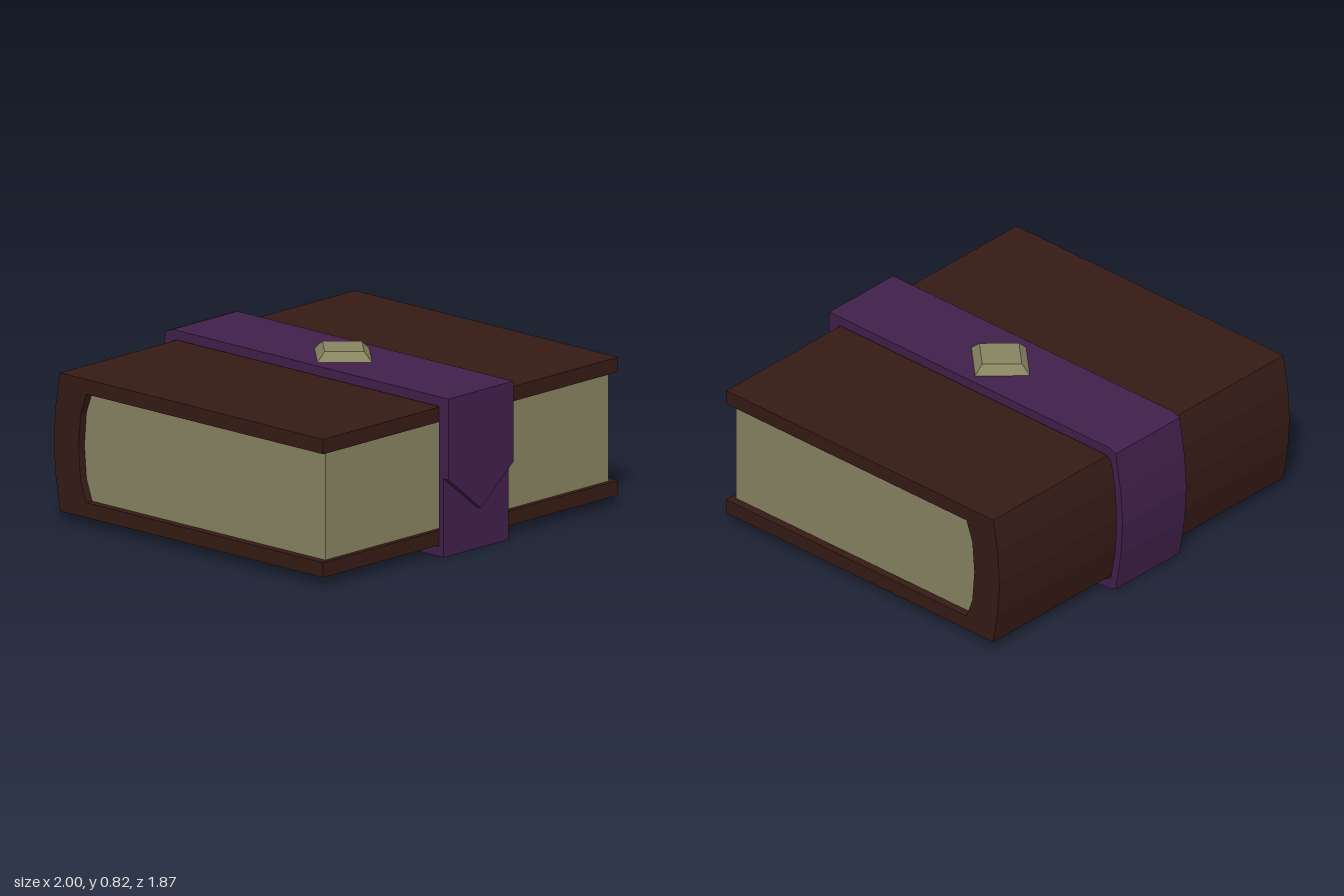
import * as THREE from 'three';

const MID = 0.385; // height of the book's middle

const material = (color) => new THREE.MeshStandardMaterial({ color, flatShading: true });

// Extrude a (z, y) side profile along x, centred on x = 0
function sideExtrude(name, profile, width, mat) {
  const shape = new THREE.Shape(profile.map(([z, y]) => new THREE.Vector2(-z, y)));
  const geo = new THREE.ExtrudeGeometry(shape, { depth: width, bevelEnabled: false });
  geo.translate(0, 0, -width / 2).rotateY(Math.PI / 2);
  const mesh = new THREE.Mesh(geo, mat);
  mesh.name = name;
  return mesh;
}

// Complete an upper half profile [z, height above middle] with its mirrored lower half
const mirrored = (half) => [
  ...half.map(([z, h]) => [z, MID + h]),
  ...half.slice().reverse().filter(([, h]) => h > 0).map(([z, h]) => [z, MID - h]),
];

export function createModel() {
  const book = new THREE.Group();
  book.name = 'book';
  const leather = material(0x361b15);
  const paper = material(0x888462);
  const cloth = material(0x41204c);

  // Cover: two boards joined by a rounded spine
  const coverOuter = [[0.87, 0.335], [-0.83, 0.335], [-0.858, 0.17], [-0.87, 0]];
  const pageBack = [[-0.66, 0.263], [-0.697, 0.16], [-0.71, 0]];
  const inner = mirrored([[0.87, 0.263], ...pageBack]);
  book.add(sideExtrude('cover', [...mirrored(coverOuter), ...inner.reverse()], 2, leather));

  // Page block, set in from the cover edges
  book.add(sideExtrude('pages', mirrored([[0.845, 0.263], ...pageBack]), 1.92, paper));

  // Strap: a closed band around the whole book
  const bandOuter = [[0.905, 0.387], [-0.845, 0.387], [-0.89, 0.372], [-0.922, 0.17], [-0.933, 0]];
  const bandInner = [[0.875, 0.34], [-0.825, 0.34], [-0.857, 0.325], [-0.885, 0.17], [-0.895, 0]];
  const hole = mirrored(bandInner);
  // The seam at the front bottom corner lets one outline describe the ring
  const outer = mirrored(bandOuter);
  const ring = new THREE.Shape(outer.map(([z, y]) => new THREE.Vector2(-z, y)));
  ring.holes.push(new THREE.Path(hole.map(([z, y]) => new THREE.Vector2(-z, y))));
  const strapGeo = new THREE.ExtrudeGeometry(ring, { depth: 0.44, bevelEnabled: false });
  strapGeo.translate(0, 0, -0.22).rotateY(Math.PI / 2);
  const strap = new THREE.Mesh(strapGeo, cloth);
  strap.name = 'strap';
  book.add(strap);

  // Pointed flap overlapping the front of the strap
  const flapShape = new THREE.Shape(
    [[-0.22, 0.772], [-0.22, 0.38], [0, 0.2], [0.22, 0.38], [0.22, 0.772]].map(([x, y]) => new THREE.Vector2(x, y)),
  );
  const flap = new THREE.Mesh(new THREE.ExtrudeGeometry(flapShape, { depth: 0.03, bevelEnabled: false }), cloth);
  flap.position.z = 0.905;
  flap.name = 'strapFlap';
  book.add(flap);

  // Diamond stud with bevelled sides
  const stud = new THREE.Mesh(new THREE.CylinderGeometry(0.135, 0.188, 0.045, 4), paper);
  stud.scale.x = 0.94;
  stud.position.set(0, 0.793, 0.047);
  stud.name = 'stud';
  book.add(stud);

  return book;
}
